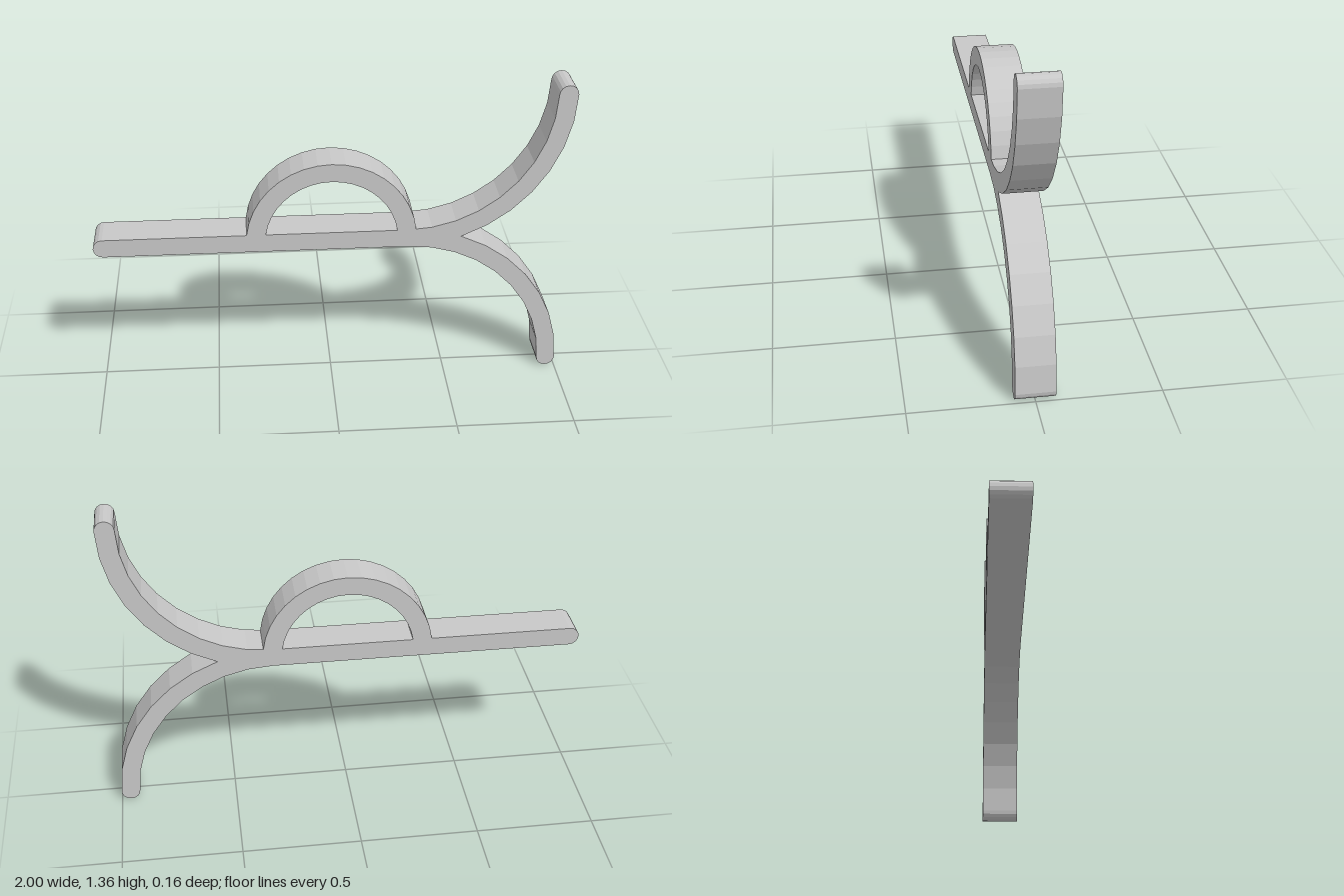
import * as THREE from 'three';

const MID = 0.68;      // height of the bar's centre line
const HALF = 0.04;     // half the strip thickness
const DEPTH = 0.16;

// Points on a circular arc, angles in degrees
function arc(cx, cy, r, from, to, steps) {
  const points = [];
  for (let i = 0; i <= steps; i++) {
    const a = THREE.MathUtils.degToRad(from + (to - from) * i / steps);
    points.push(new THREE.Vector2(cx + r * Math.cos(a), cy + r * Math.sin(a)));
  }
  return points;
}

export function createModel() {
  const group = new THREE.Group();
  const grey = new THREE.MeshStandardMaterial({ color: 0xc8c8c8 });

  function addStrip(name, points) {
    const geometry = new THREE.ExtrudeGeometry(new THREE.Shape(points), { depth: DEPTH, bevelEnabled: false });
    geometry.translate(0, 0, -DEPTH / 2);
    const mesh = new THREE.Mesh(geometry, grey);
    mesh.name = name;
    group.add(mesh);
  }

  // Straight bar with a rounded free end
  const forkX = 0.32;
  addStrip('bar', [
    new THREE.Vector2(forkX, MID - HALF),
    new THREE.Vector2(forkX, MID + HALF),
    ...arc(-0.96, MID, HALF, 90, 270, 8),
  ]);

  // Half-round arch, trimmed where it meets the top of the bar
  const outer = 0.36, inner = 0.28;
  const trim = (r) => THREE.MathUtils.radToDeg(Math.asin(HALF / r));
  addStrip('arch', [
    ...arc(0, MID, outer, trim(outer), 180 - trim(outer), 18),
    ...arc(0, MID, inner, 180 - trim(inner), trim(inner), 18),
  ]);

  // Two mirrored quarter-circle fork arms, split along the centre line
  const armY = 1.32, armR = 0.64;
  const split = -THREE.MathUtils.radToDeg(Math.asin((armY - MID) / (armR + HALF)));
  const upper = [
    new THREE.Vector2(forkX, MID),
    ...arc(forkX, armY, armR + HALF, split, 0, 7),
    ...arc(forkX + armR, armY, HALF, 0, 180, 8).slice(1, -1),
    ...arc(forkX, armY, armR - HALF, 0, -90, 9),
  ];
  addStrip('upperForkArm', upper);
  addStrip('lowerForkArm', upper.map((p) => new THREE.Vector2(p.x, 2 * MID - p.y)));

  return group;
}
